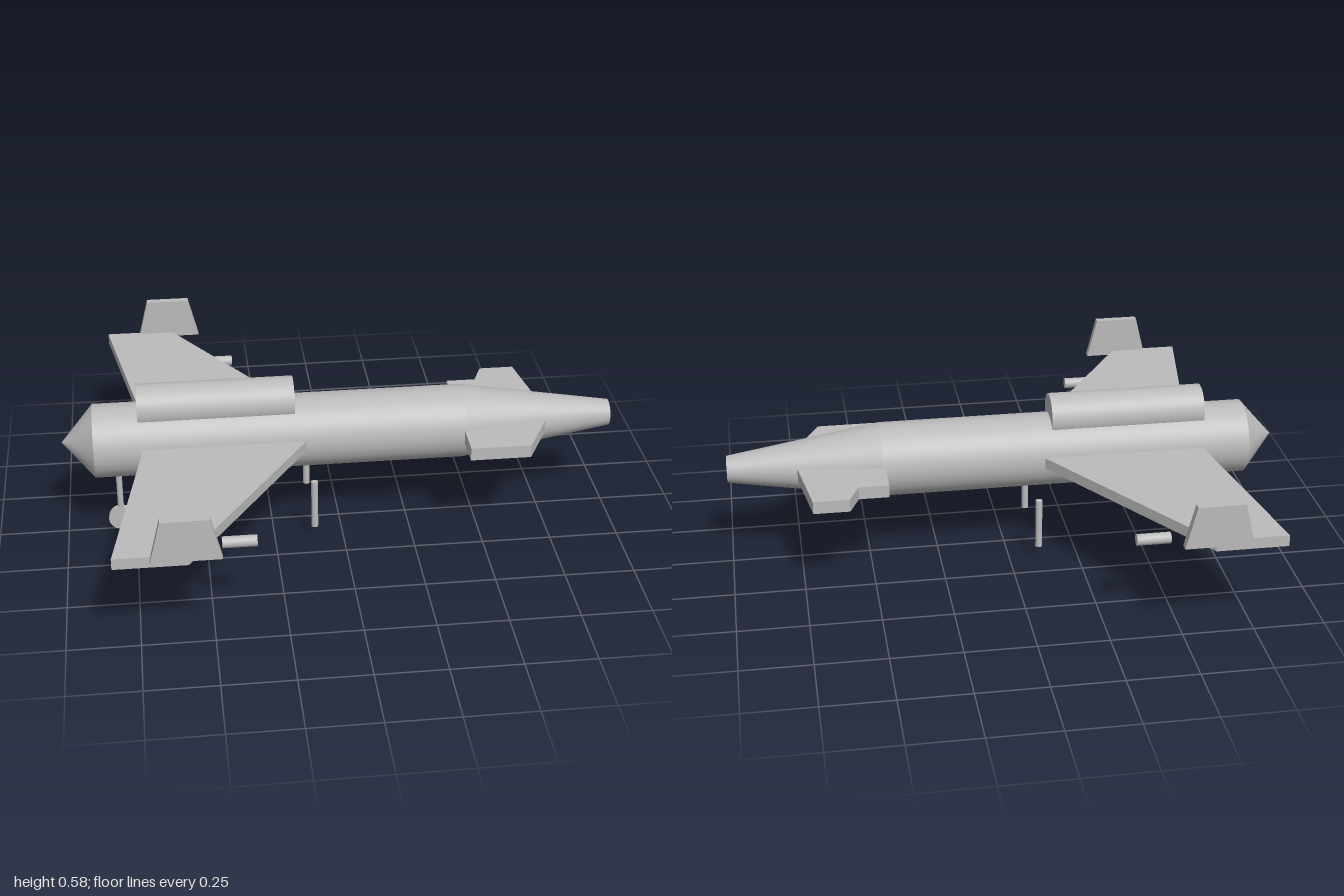
import * as THREE from 'three';

export function createModel() {
  const model = new THREE.Group();
  model.name = 'jetAircraft';
  const grey = new THREE.MeshStandardMaterial({ color: 0xbbbbbb });
  grey.name = 'airframe grey';
  grey.side = THREE.DoubleSide;

  const AXIS_Y = 0.373;
  const RADIUS = 0.133;

  function add(name, geometry, x = 0, y = 0, z = 0) {
    const mesh = new THREE.Mesh(geometry, grey);
    mesh.name = name;
    mesh.position.set(x, y, z);
    model.add(mesh);
    return mesh;
  }

  // Round section lying along x, from x0 (radius r0) to x1 (radius r1)
  function tubeX(name, x0, x1, r0, r1, y, z = 0, open = false, sides = 48) {
    const g = new THREE.CylinderGeometry(r1, r0, x1 - x0, sides, 1, open);
    g.rotateZ(-Math.PI / 2);
    return add(name, g, (x0 + x1) / 2, y, z);
  }

  function plate(points, depth) {
    const shape = new THREE.Shape(points.map(([a, b]) => new THREE.Vector2(a, b)));
    return new THREE.ExtrudeGeometry(shape, { depth, bevelEnabled: false });
  }

  // Horizontal plate from an (x, z) outline
  function flatPlate(name, points, bottom, top) {
    const g = plate(points, top - bottom);
    g.rotateX(Math.PI / 2);
    return add(name, g, 0, top, 0);
  }

  // Upright rod between two heights
  function rod(name, x, z, y0, y1, r) {
    return add(name, new THREE.CylinderGeometry(r, r, y1 - y0, 16), x, (y0 + y1) / 2, z);
  }

  // Fuselage: pointed tail, straight barrel, tapering nose with an open intake
  tubeX('tailCone', -1, -0.885, 0, RADIUS, AXIS_Y, 0, true);
  tubeX('fuselage', -0.885, 0.45, RADIUS, RADIUS, AXIS_Y, 0, true);
  tubeX('noseCone', 0.45, 1, RADIUS, 0.048, AXIS_Y, 0, true);

  // Engine pod on the back
  tubeX('dorsalEngine', -0.725, -0.165, 0.082, 0.082, 0.502);

  for (const s of [1, -1]) {
    const side = s > 0 ? 'left' : 'right';

    // Swept wings
    flatPlate(side + 'Wing', [
      [-0.704, 0.09 * s], [-0.104, 0.09 * s], [-0.58, 0.822 * s], [-0.828, 0.822 * s],
    ], 0.355, 0.395);

    // Upright fins at the wing tips
    add(side + 'WingtipFin', plate([
      [-0.705, 0.38], [-0.47, 0.38], [-0.507, 0.53], [-0.668, 0.53],
    ], 0.028), 0, 0, s * 0.824 - 0.014);

    // Pods below the wings
    for (const z of [0.29, 0.662]) {
      tubeX(side + 'Pod', -0.465, -0.348, 0.02, 0.02, 0.331, z * s, false, 20);
    }

    // Main landing struts
    rod(side + 'MainStrut', -0.105, 0.155 * s, 0.054, 0.24, 0.0125);
  }

  // Foreplanes, each with its own outline
  flatPlate('plainForeplane', [
    [0.443, 0.08], [0.443, 0.258], [0.66, 0.258], [0.75, 0.08],
  ], 0.35, 0.398);
  flatPlate('steppedForeplane', [
    [0.443, 0], [0.443, -0.265], [0.55, -0.265], [0.586, -0.352],
    [0.713, -0.352], [0.752, -0.09], [0.752, 0],
  ], 0.352, 0.398);

  // Tail strut and wheel
  rod('tailStrut', -0.805, 0, 0.09, 0.24, 0.011);
  const wheel = new THREE.CylinderGeometry(0.046, 0.046, 0.022, 24);
  wheel.rotateX(Math.PI / 2);
  add('tailWheel', wheel, -0.805, 0.046, 0);

  return model;
}
